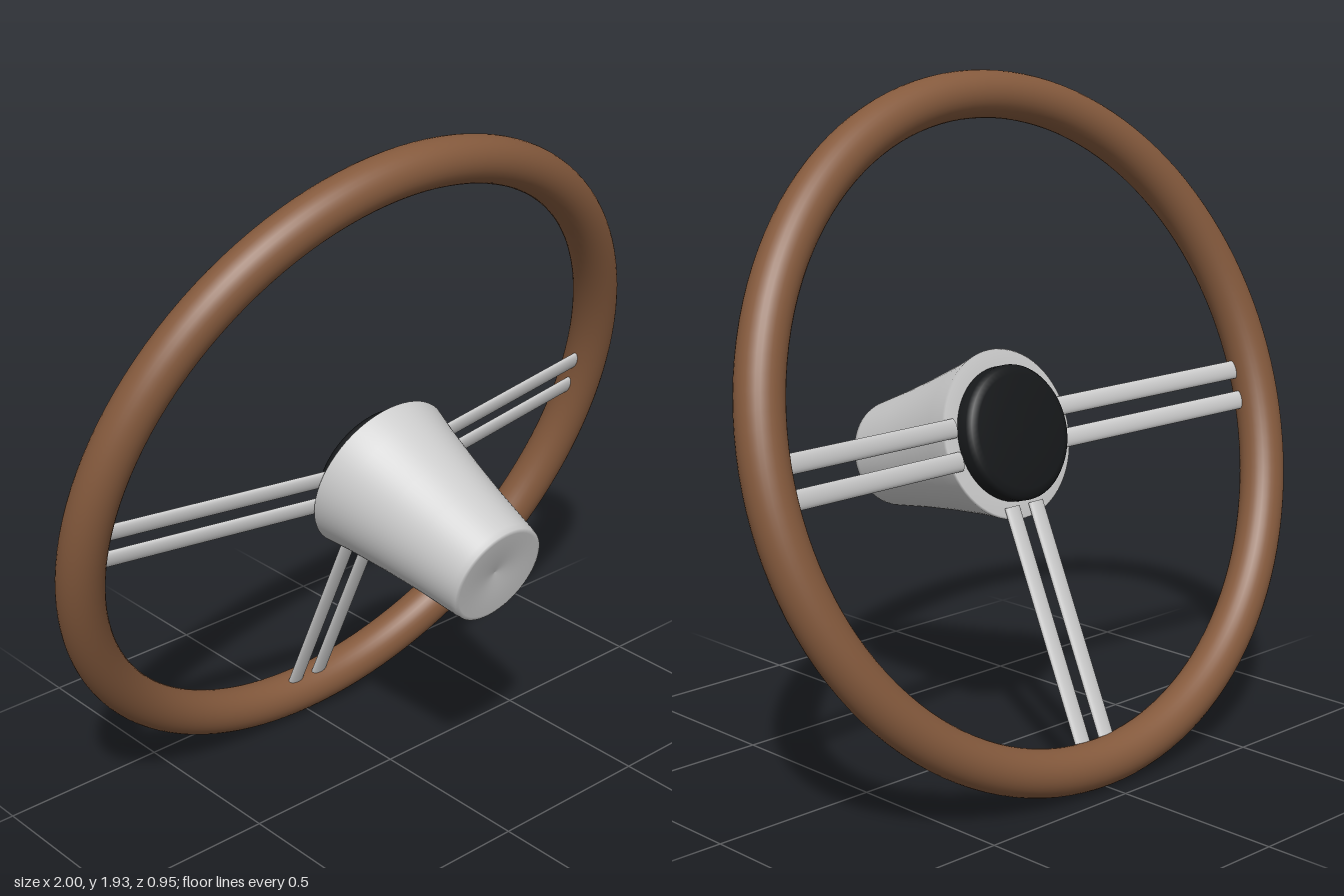
import * as THREE from 'three';

const material = (color) => new THREE.MeshStandardMaterial({ color });

function addMesh(parent, name, geometry, mat) {
  const mesh = new THREE.Mesh(geometry, mat);
  mesh.name = name;
  parent.add(mesh);
  return mesh;
}

// Lathe around the steering axis (+z); points are [radius, z] from back to front
function turned(points) {
  return new THREE.LatheGeometry(points.map(([r, z]) => new THREE.Vector2(r, z)), 64).rotateX(Math.PI / 2);
}

export function createModel() {
  const model = new THREE.Group();
  model.name = 'steeringWheel';
  const grey = material(0xcccccc);
  const brown = material(0x855a3d);
  const black = material(0x16181a);

  // Everything is built upright around z, then tilted on the column
  const wheel = new THREE.Group();
  wheel.name = 'tiltedWheel';
  wheel.position.set(0, 0.962, -0.15);
  wheel.rotation.x = 0.281;
  model.add(wheel);

  // Wooden rim
  addMesh(wheel, 'rim', new THREE.TorusGeometry(0.934, 0.066, 32, 128), brown);

  // Flared hub with a slightly dished front end
  addMesh(wheel, 'hub', turned([
    [0, 0.11], [0.19, 0.11], [0.235, 0.111], [0.24, 0.116], [0.222, 0.19], [0.195, 0.33],
    [0.175, 0.45], [0.156, 0.59], [0.152, 0.607], [0.14, 0.61], [0.06, 0.605], [0, 0.595],
  ]), grey);

  // Dark centre cap facing the driver
  addMesh(wheel, 'centreCap', turned([
    [0, 0.05], [0.08, 0.051], [0.16, 0.056], [0.18, 0.062], [0.19, 0.075], [0.19, 0.112],
  ]), black);

  // Three pairs of flattened spokes, sloping from the hub back to the rim
  const inner = 0.2, outer = 0.91, hubZ = 0.105, rimZ = 0.005;
  const length = Math.hypot(outer - inner, hubZ - rimZ);
  const spokeGeometry = new THREE.CylinderGeometry(0.027, 0.027, length, 24).scale(1, 1, 0.42);
  const slope = Math.atan2(rimZ - hubZ, outer - inner);
  [['leftSpokes', -Math.PI / 2], ['rightSpokes', Math.PI / 2], ['lowerSpokes', Math.PI]].forEach(([name, angle]) => {
    const pair = new THREE.Group();
    pair.name = name;
    pair.rotation.z = angle;
    for (const side of [-1, 1]) {
      const spoke = addMesh(pair, 'spoke', spokeGeometry, grey);
      spoke.position.set(side * 0.046, (inner + outer) / 2, (hubZ + rimZ) / 2);
      spoke.rotation.x = slope;
    }
    wheel.add(pair);
  });

  return model;
}
